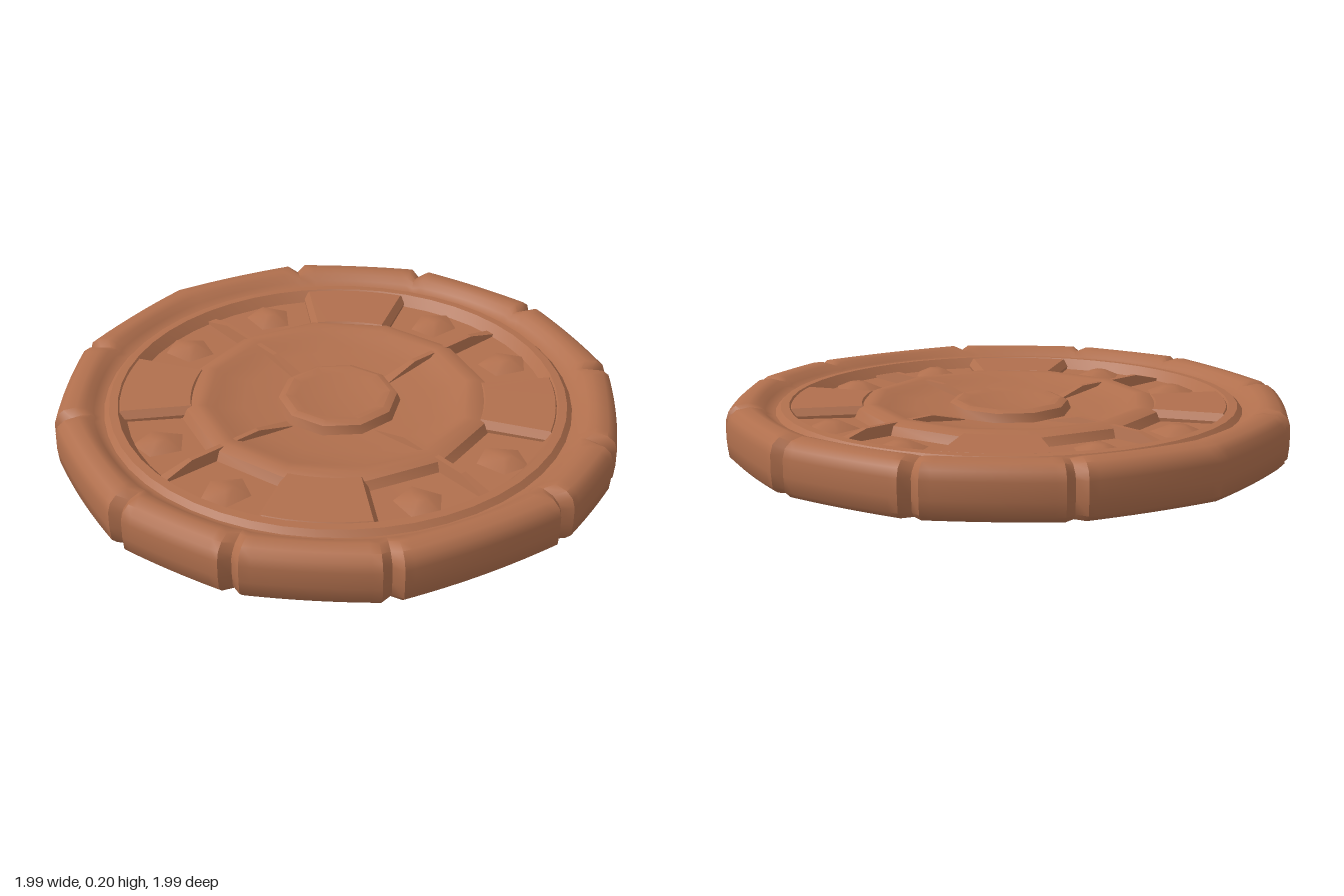
import * as THREE from 'three';
import { toCreasedNormals } from 'three/addons/utils/BufferGeometryUtils.js';

const DEG = Math.PI / 180;

export function createModel() {
  const group = new THREE.Group();
  group.name = 'carvedDisc';
  const clay = new THREE.MeshStandardMaterial({ color: 0xb06f4d });
  clay.name = 'terracotta';

  const add = (name, geometry, crease = 35) => {
    const mesh = new THREE.Mesh(toCreasedNormals(geometry, crease * DEG), clay);
    mesh.name = name;
    group.add(mesh);
    return mesh;
  };
  const lathe = (points, segments) =>
    new THREE.LatheGeometry(points.map(([r, y]) => new THREE.Vector2(r, y)), segments);

  // Outer rim and flat underside: a lathe reshaped into a notched twelve-sided outline
  const corners = [4, 30, 60, 98, 120, 150, 180, 210, 240, 270, 300, 330, 364];
  const rim = lathe([
    [0, 0.005], [0.94, 0.005], [0.975, 0.01], [0.995, 0.03], [1, 0.08], [1, 0.14], [0.99, 0.172],
    [0.965, 0.192], [0.92, 0.2], [0.885, 0.192], [0.86, 0.172], [0.83, 0.158], [0.79, 0.155],
  ], 180);
  const p = rim.attributes.position;
  for (let i = 0; i < p.count; i++) {
    const x = p.getX(i), y = p.getY(i), z = p.getZ(i), r = Math.hypot(x, z);
    if (r < 0.8) continue;
    let a = Math.atan2(x, z) / DEG;
    while (a < 3.9) a += 360;
    const k = Math.min(11, Math.max(0, corners.findIndex((c) => c > a + 0.01) - 1));
    const a0 = a > 363.9 ? 4 : corners[k], a1 = a > 363.9 ? 30 : corners[k + 1];
    if (a > 363.9) a -= 360;
    // straight-ish side between neighbouring corners
    const chord = Math.cos((a1 - a0) / 2 * DEG) / Math.cos((a - (a0 + a1) / 2) * DEG);
    let scale = 1 - 0.65 * (1 - chord), drop = 0;
    const nearest = Math.abs(a - a0) < Math.abs(a - a1) ? a0 : a1;
    if (Math.abs(a - nearest) < 0.5 && nearest !== 270) {
      scale -= 0.035;
      drop = y > 0.165 ? 0.014 : 0;
    }
    const w = THREE.MathUtils.clamp((r - 0.83) / 0.1, 0, 1);
    const s = 1 + (scale - 1) * w;
    p.setXYZ(i, x * s, y - drop * w, z * s);
  }
  add('rim', rim, 40);

  // Sunken floor, with the lip around the panels
  add('panelFloor', lathe([
    [0.83, 0.15], [0.805, 0.176], [0.775, 0.178], [0.745, 0.142], [0.5, 0.138],
  ], 48));

  // Faceted middle ring and the dish inside it
  add('middleRing', lathe([
    [0.56, 0.13], [0.535, 0.168], [0.5, 0.182], [0.465, 0.18], [0.435, 0.165],
    [0.34, 0.153], [0.24, 0.142], [0, 0.142],
  ], 12));

  // Central boss with a shallow hollow
  add('centreBoss', lathe([
    [0.225, 0.135], [0.21, 0.172], [0.185, 0.182], [0.15, 0.174], [0, 0.168],
  ], 10));

  // Four plain blocks on the diagonals
  const block = (r0, r1, half) => {
    const shape = new THREE.Shape();
    shape.absarc(0, 0, r1, -half, half, false);
    shape.absarc(0, 0, r0, half, -half, true);
    return new THREE.ExtrudeGeometry(shape, {
      depth: 0.02, curveSegments: 6, bevelEnabled: true,
      bevelThickness: 0.025, bevelSize: 0.02, bevelSegments: 1,
    }).rotateX(-Math.PI / 2);
  };
  for (let i = 0; i < 4; i++) {
    const mesh = add('diagonalBlock', block(0.52, 0.765, 13.5 * DEG), 30);
    mesh.position.y = 0.131;
    mesh.rotation.y = (45 + i * 90) * DEG;
  }

  // Four ridges crossing the dish and the panels
  for (let i = 0; i < 4; i++) {
    const ridge = new THREE.CylinderGeometry(0.014, 0.034, 0.05, 4, 1);
    ridge.rotateY(Math.PI / 4).scale(0.57 / 0.04, 1, 1).translate(0.5, 0.152, 0);
    const mesh = add('ridge', ridge, 10);
    mesh.rotation.y = i * 90 * DEG;
  }

  // Eight sunken panels, each with a chipped lump
  for (let i = 0; i < 4; i++) {
    for (const side of [-1, 1]) {
      const lump = new THREE.CylinderGeometry(0.03, 0.105, 0.032, 5, 1);
      lump.rotateY(0.5 * side + i).scale(1, 1, 0.9).translate(0.665, 0.152, 0);
      const mesh = add('panelLump', lump, 45);
      mesh.rotation.y = (i * 90 + side * 16.5) * DEG;
    }
  }
  return group;
}
